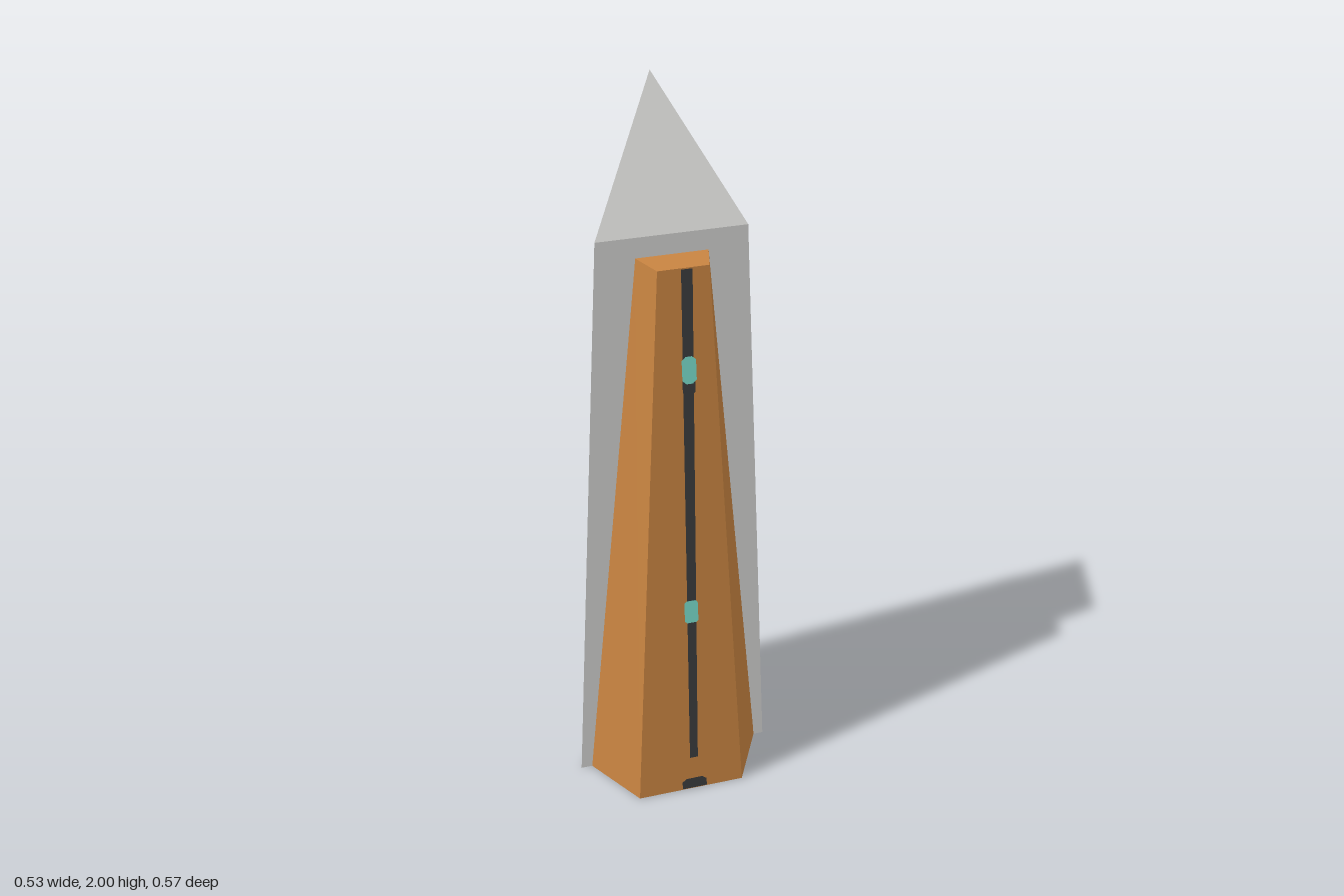
import * as THREE from 'three';

const mat = (name, color, side = THREE.FrontSide) => {
  const m = new THREE.MeshStandardMaterial({ color, side });
  m.name = name;
  return m;
};
const V = (x, y, z) => new THREE.Vector3(x, y, z);

// Flat-shaded geometry from a list of corner points, three per triangle
function facets(points) {
  const g = new THREE.BufferGeometry().setFromPoints(points);
  g.computeVertexNormals();
  return g;
}

// Side walls between two rings, each quad split along one diagonal
function walls(low, high, flipped = []) {
  const p = [];
  low.forEach((a, i) => {
    const j = (i + 1) % low.length, b = low[j], c = high[j], d = high[i];
    if (flipped.includes(i)) p.push(a, b, c, a, c, d);
    else p.push(a, b, d, b, c, d);
  });
  return p;
}

// Fan cap facing up, or down when reversed
function cap(ring, down = false) {
  const p = [];
  for (let i = 1; i < ring.length - 1; i++)
    p.push(ring[0], ...(down ? [ring[i + 1], ring[i]] : [ring[i], ring[i + 1]]));
  return p;
}

export function createModel() {
  const group = new THREE.Group();
  const grey = mat('light grey', 0xd2d2d0);
  const orange = mat('orange', 0xc88441);
  const dark = mat('charcoal', 0x3a3b3d);
  const blue = mat('window blue', 0x5080c4, THREE.DoubleSide);
  const cyan = mat('light cyan', 0x78dccb);
  const add = (name, geo, material) => {
    const m = new THREE.Mesh(geo, material);
    m.name = name;
    group.add(m);
  };

  // Three-sided tapering tower with a slanted roof
  const EAVE = 1.645;
  const base = [V(-0.265, 0, -0.03), V(0.262, 0, 0.163), V(0.128, 0, -0.285)];
  const top = [V(-0.18, EAVE, -0.03), V(0.197, EAVE, 0.106), V(0.08, 2, -0.152)];
  add('tower', facets([...walls(base, top, [2]), ...cap(top)]), grey);
  add('towerUnderside', facets(cap(base, true)), dark);

  // Four-sided tapering front annex
  const annexLow = [V(-0.235, 0, -0.02), V(-0.205, 0, 0.178), V(0.084, 0, 0.284), V(0.237, 0, 0.152)];
  const annexHigh = [V(-0.083, 1.59, 0.004), V(-0.085, 1.59, 0.1), V(0.043, 1.59, 0.146), V(0.1, 1.59, 0.069)];
  add('annex', facets([...walls(annexLow, annexHigh), ...cap(annexHigh), ...cap(annexLow, true)]), orange);

  // Point on a rear wall: t runs from the rear edge (0) to the side edge (1)
  const wallPoint = (side, t, y) => {
    const s = y / EAVE;
    const rear = base[2].clone().lerp(top[2], y / 2);
    const edge = base[side].clone().lerp(top[side], s);
    const fold = base[2].clone().lerp(top[side], s);
    const p = t < s ? rear.lerp(fold, t / s) : fold.lerp(edge, (t - s) / (1 - s));
    const d = base[side].clone().sub(base[2]).normalize();
    const out = side === 0 ? V(-d.z, 0, d.x) : V(d.z, 0, -d.x);
    if (out.dot(base[2].clone().add(base[side])) < 0) out.negate();
    return p.addScaledVector(out, 0.004);
  };

  // Thin strip on a rear wall; start and end are [t, low y, high y]
  const wallStrip = (side, start, end, bevelStart) => {
    const n = 16, p = [], rows = [];
    for (let i = 0; i <= n; i++) {
      const k = i / n;
      const [t, lo, hi] = start.map((a, q) => a + (end[q] - a) * k);
      const cut = i === n || (i === 0 && bevelStart) ? 0.008 : 0;
      rows.push([wallPoint(side, t, lo + cut), wallPoint(side, t, hi - cut)]);
    }
    for (let i = 0; i < n; i++) {
      const [a, d] = rows[i], [b, c] = rows[i + 1];
      p.push(a, b, c, a, c, d);
    }
    return facets(p);
  };

  // Corner window and paired bands, repeated on both rear walls
  [[0, 'right'], [1, 'left']].forEach(([side, label]) => {
    add(label + 'CornerWindow', wallStrip(side, [0, 1.49, 1.7], [0.73, 1.405, 1.535], false), blue);
    add(label + 'LowerBand', wallStrip(side, [0.16, 0.985, 1.027], [0.87, 0.972, 1.01], true), blue);
    add(label + 'UpperBand', wallStrip(side, [0.16, 1.034, 1.08], [0.87, 1.016, 1.052], true), blue);
  });

  // Flat outline laid onto the sloping front of the annex
  const frontPlate = (name, outline, material, lift) => {
    const shape = new THREE.Shape(outline.map(([x, y]) => new THREE.Vector2(x, y)));
    const g = new THREE.ShapeGeometry(shape);
    const pos = g.attributes.position;
    for (let i = 0; i < pos.count; i++) {
      const x = pos.getX(i), y = pos.getY(i);
      pos.setZ(i, 0.2533 + 0.367 * x - 0.0768 * y + lift);
    }
    g.computeVertexNormals();
    add(name, g, material);
  };
  const bevelled = (cx, cy, w, h, b) => [
    [cx - w + b, cy - h], [cx + w - b, cy - h], [cx + w, cy - h + b], [cx + w, cy + h - b],
    [cx + w - b, cy + h], [cx - w + b, cy + h], [cx - w, cy + h - b], [cx - w, cy - h + b],
  ];

  // Long slit, its two lights and the doorway
  frontPlate('frontSlit', [[-0.062, 0.11], [-0.04, 0.11], [-0.001, 1.588], [-0.029, 1.588]], dark, 0.003);
  frontPlate('upperLightSurround', bevelled(-0.022, 1.275, 0.016, 0.028, 0.008), dark, 0.004);
  frontPlate('upperLight', bevelled(-0.021, 1.317, 0.018, 0.038, 0.01), cyan, 0.006);
  frontPlate('lowerLight', bevelled(-0.042, 0.6, 0.018, 0.035, 0.006), cyan, 0.006);
  frontPlate('doorway', [[-0.086, 0.004], [-0.018, 0.004], [-0.018, 0.028], [-0.03, 0.038], [-0.074, 0.038], [-0.086, 0.028]], dark, 0.003);

  return group;
}
